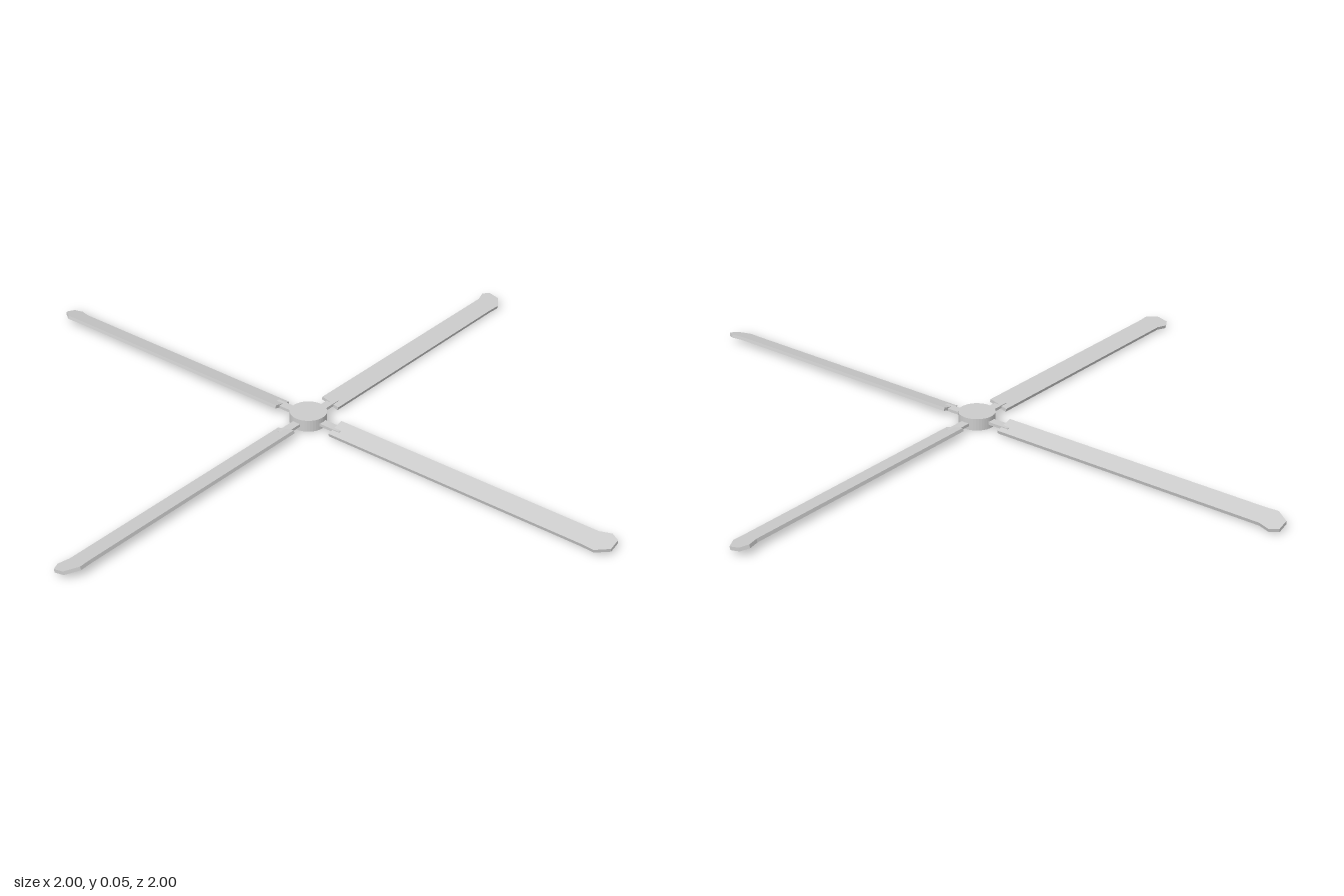
import * as THREE from 'three';

const HUB_X = -0.013, HUB_Z = 0.009;
const PITCH = THREE.MathUtils.degToRad(14);
const THICK = 0.014;

export function createModel() {
  const root = new THREE.Group();
  root.name = 'rotor';
  const mat = new THREE.MeshStandardMaterial({ color: 0xcccccc, flatShading: true });

  const add = (parent, geo, name) => {
    const mesh = new THREE.Mesh(geo, mat);
    mesh.name = name;
    parent.add(mesh);
    return mesh;
  };

  // Hub: flat disc with a recess underneath
  const hubProfile = [
    [0, 0.025], [0.045, 0.025], [0.045, 0], [0.075, 0], [0.075, 0.05], [0, 0.05],
  ].map(([r, y]) => new THREE.Vector2(r, y));
  add(root, new THREE.LatheGeometry(hubProfile, 40), 'hub');

  // Flat blade with a small hooked tip; side picks which edge carries the hook
  const bladeGeometry = (length, side) => {
    const outline = [
      [0.137, -0.042], [length - 0.1, -0.042], [length - 0.05, -0.045],
      [length, -0.01], [length, 0.038], [length - 0.033, 0.056],
      [length - 0.08, 0.042], [0.137, 0.042],
    ].map(([u, v]) => new THREE.Vector2(u, v * side));
    const geo = new THREE.ExtrudeGeometry(new THREE.Shape(outline), { depth: THICK, bevelEnabled: false });
    return geo.translate(0, 0, -THICK / 2).rotateX(-Math.PI / 2).rotateX(PITCH);
  };

  // Four arms, each a narrow grip and a pitched blade
  const arms = [
    { angle: -45, length: 1.39, side: 1 },
    { angle: 45, length: 1.335, side: 1 },
    { angle: 135, length: 1.39, side: -1 },
    { angle: 225, length: 1.335, side: -1 },
  ];
  for (const { angle, length, side } of arms) {
    const arm = new THREE.Group();
    arm.name = 'arm';
    add(arm, bladeGeometry(length, side), 'blade');
    add(arm, new THREE.BoxGeometry(0.12, 0.012, 0.036).translate(0.11, 0, 0), 'bladeGrip');
    arm.position.y = side > 0 ? 0.022 : 0.025;
    arm.rotation.y = THREE.MathUtils.degToRad(angle);
    root.add(arm);
  }

  root.position.set(HUB_X, 0, HUB_Z);
  const model = new THREE.Group();
  model.add(root);
  return model;
}
